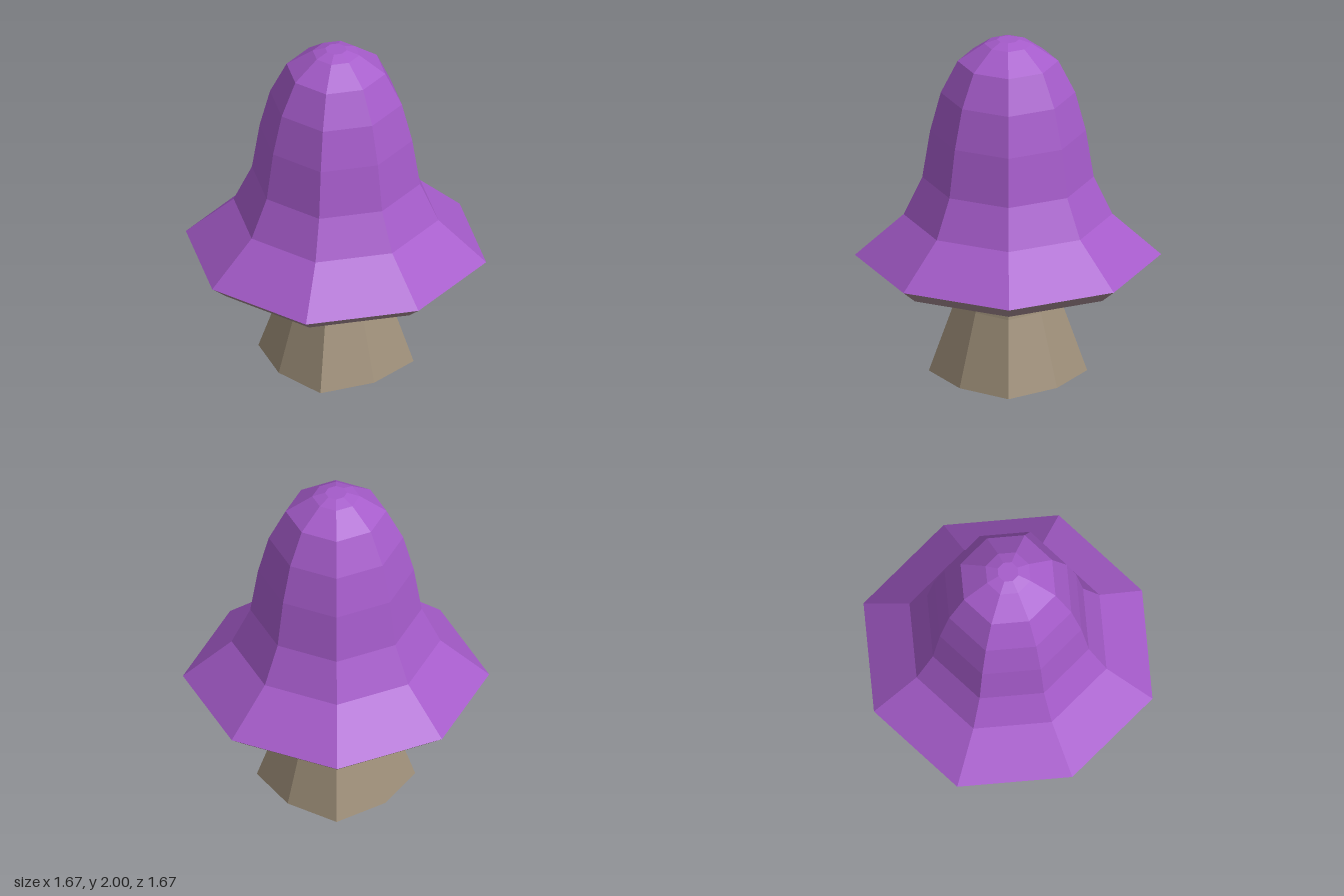
import * as THREE from 'three';

const flat = (name, color) => {
  const m = new THREE.MeshStandardMaterial({ color, flatShading: true });
  m.name = name;
  return m;
};

// Eight-sided lathe whose diagonal corners are pushed out by a factor
function octagonLathe(name, profile, diagonal, material) {
  const points = profile.map(([r, y]) => new THREE.Vector2(r, y));
  const geometry = new THREE.LatheGeometry(points, 8);
  const pos = geometry.attributes.position;
  for (let i = 0; i < pos.count; i++) {
    const corner = Math.floor(i / points.length);
    const s = corner % 2 ? diagonal : 1;
    pos.setXYZ(i, pos.getX(i) * s, pos.getY(i), pos.getZ(i) * s);
  }
  geometry.computeVertexNormals();
  const mesh = new THREE.Mesh(geometry, material);
  mesh.name = name;
  return mesh;
}

export function createModel() {
  const purple = flat('purple cap', 0xa55bca);
  const beige = flat('beige flesh', 0x9f907a);
  const mauve = flat('mauve rim', 0xa28890);

  const group = new THREE.Group();
  group.name = 'mushroom';

  // Squarish flared stem, closed at the foot and running up inside the cap
  group.add(octagonLathe('stem',
    [[0, 0], [0.387, 0], [0.26, 0.42], [0.22, 0.63], [0.175, 0.9], [0.16, 1.18]], 1.15, beige));

  // Bell-shaped cap with a wide skirt
  group.add(octagonLathe('cap',
    [[0.836, 0.7], [0.57, 0.945], [0.468, 1.17], [0.425, 1.45], [0.367, 1.68],
      [0.275, 1.87], [0.13, 1.975], [0.06, 2], [0, 2]], 1.03, purple));

  // Bevelled lower edge of the cap
  group.add(octagonLathe('capRim', [[0.745, 0.625], [0.836, 0.7]], 1.03, mauve));

  // Hollow underside, facing inward
  group.add(octagonLathe('capUnderside',
    [[0, 1.18], [0.34, 1.15], [0.37, 0.895], [0.745, 0.625]], 1.03, beige));

  return group;
}
